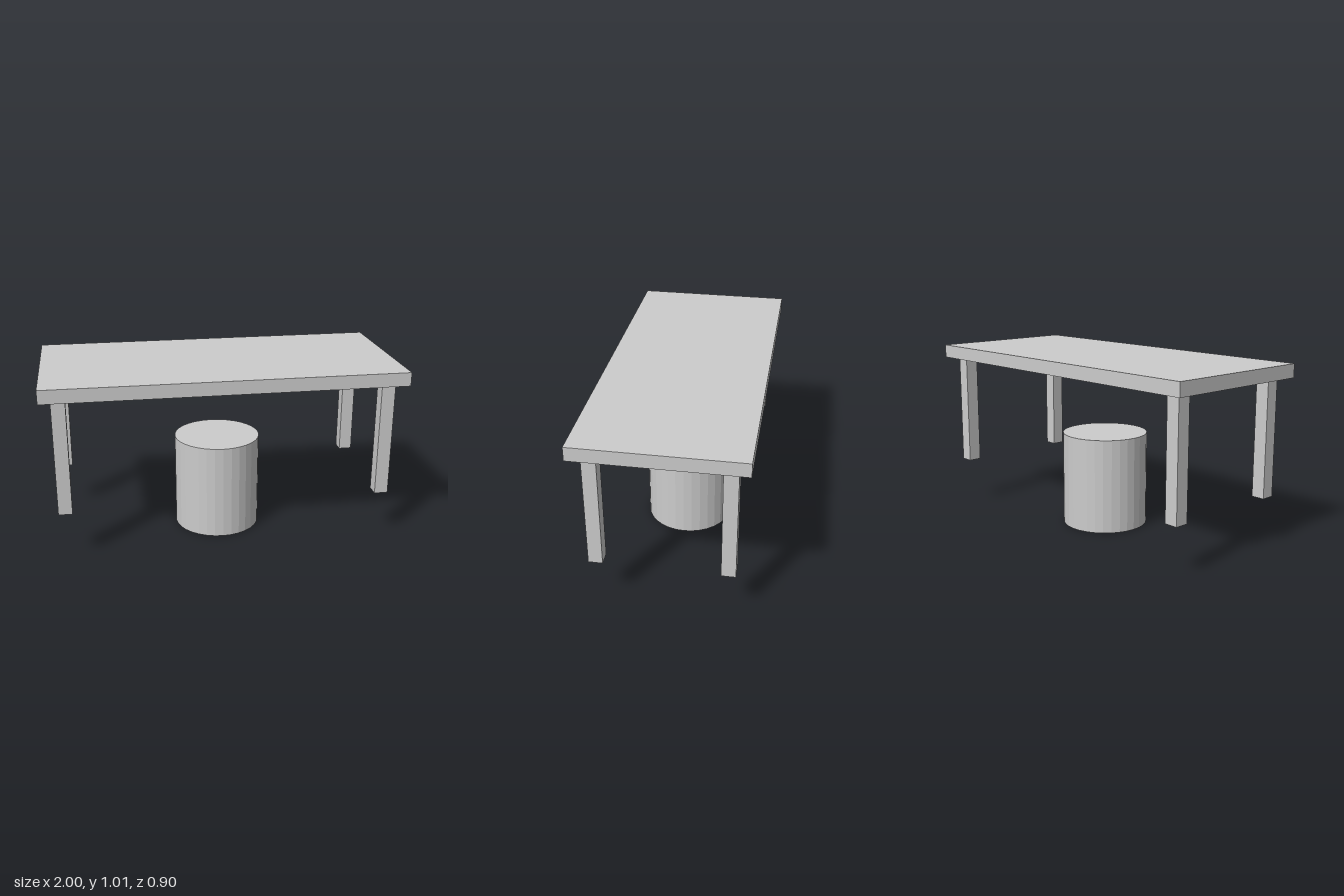
import * as THREE from 'three';

export function createModel() {
  const model = new THREE.Group();
  const grey = new THREE.MeshStandardMaterial({ color: 0xcccccc });
  grey.name = 'light grey';
  grey.flatShading = true;

  function add(name, geometry, x, y, z) {
    const mesh = new THREE.Mesh(geometry, grey);
    mesh.name = name;
    mesh.position.set(x, y, z);
    model.add(mesh);
  }

  const legBottom = 0.277, topBottom = 0.938, topHeight = 0.077;

  // Table top
  add('tableTop', new THREE.BoxGeometry(2, topHeight, 0.9), 0, topBottom + topHeight / 2, 0);

  // Four square legs
  const legHeight = topBottom - legBottom;
  const leg = new THREE.BoxGeometry(0.077, legHeight, 0.077);
  for (const [side, x] of [['left', 0.9], ['right', -0.9]]) {
    for (const [end, z] of [['Front', 0.349], ['Back', -0.349]]) {
      add(`${side}${end}Leg`, leg, x, legBottom + legHeight / 2, z);
    }
  }

  // Faceted round stool beneath the table
  const stoolHeight = 0.55;
  add('stool', new THREE.CylinderGeometry(0.249, 0.249, stoolHeight, 32), 0, stoolHeight / 2, 0);

  return model;
}
